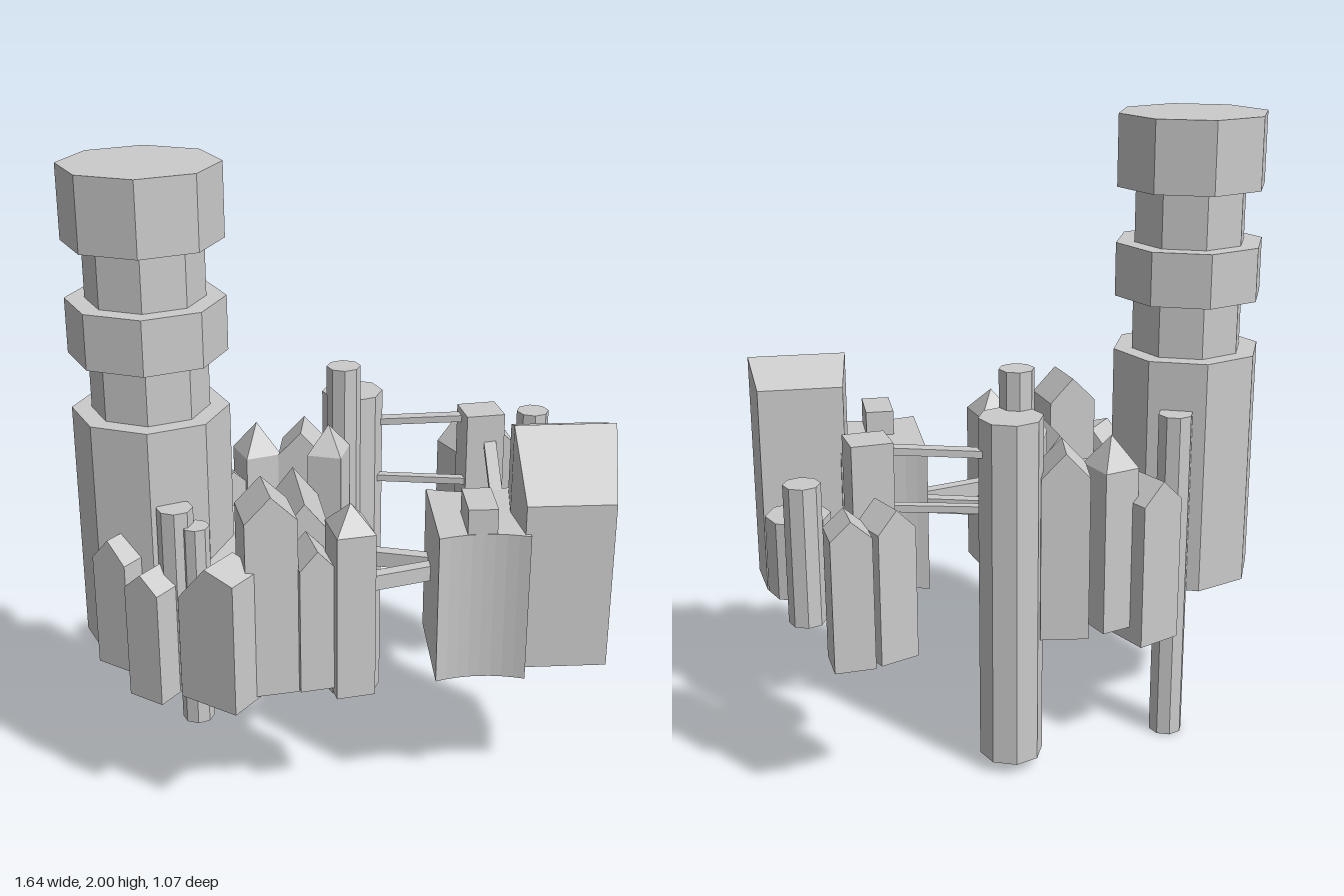
import * as THREE from 'three';
import { ConvexGeometry } from 'three/addons/geometries/ConvexGeometry.js';

const material = new THREE.MeshStandardMaterial({ color: 0xcccccc, flatShading: true });
const V = (x, y, z) => new THREE.Vector3(x, y, z);

export function createModel() {
  const model = new THREE.Group();

  function add(name, geometry, x = 0, y = 0, z = 0, turn = 0) {
    const mesh = new THREE.Mesh(geometry, material);
    mesh.name = name;
    mesh.position.set(x, y, z);
    mesh.rotation.y = turn;
    model.add(mesh);
    return mesh;
  }

  // Eight-sided column with corners on the axes
  const column = (name, x, z, r, y0, y1) =>
    add(name, new THREE.CylinderGeometry(r, r, y1 - y0, 8), x, (y0 + y1) / 2, z);

  // Block with a ridge along local z; ridge length 0 makes a pyramid roof
  function house(name, x, z, w, d, y0, eave, top, turn, ridge = d, eaveRight = eave) {
    const pts = [V(0, top, ridge / 2), V(0, top, -ridge / 2)];
    for (const s of [-1, 1]) for (const t of [-1, 1]) {
      pts.push(V(s * w / 2, y0, t * d / 2), V(s * w / 2, s < 0 ? eave : eaveRight, t * d / 2));
    }
    add(name, new ConvexGeometry(pts), x, 0, z, turn);
  }

  // Upright prism from a plan shape drawn in x and z
  function prism(name, shape, y0, y1) {
    const geometry = new THREE.ExtrudeGeometry(shape, { depth: y1 - y0, bevelEnabled: false, curveSegments: 8 });
    geometry.rotateX(Math.PI / 2); // shape y becomes z, depth runs down
    add(name, geometry, 0, y1, 0);
  }

  // Thin beam between two points
  function bridge(a, b, w, h) {
    const mesh = add('bridge', new THREE.BoxGeometry(w, h, a.distanceTo(b)));
    mesh.position.copy(a).add(b).multiplyScalar(0.5);
    mesh.lookAt(b);
  }

  // Great tower: alternating wide and narrow drums
  [[0.24, 0.49, 1.255], [0.18, 1.255, 1.43], [0.24, 1.43, 1.6], [0.18, 1.6, 1.775], [0.24, 1.775, 2]]
    .forEach(([r, y0, y1]) => column('greatTowerDrum', -0.58, 0.07, r, y0, y1));

  // Central platform and the hall on it
  const plan = [[-0.45, -0.17], [-0.2, -0.18], [-0.09, -0.18], [-0.05, -0.1], [-0.04, 0], [-0.04, 0.2],
    [0.02, 0.31], [-0.12, 0.34], [-0.35, 0.36], [-0.5, 0.32]];
  prism('platform', new THREE.Shape(plan.map(([x, z]) => new THREE.Vector2(x, z))), 0.45, 0.81);
  house('hall', -0.135, 0.125, 0.16, 0.29, 0.47, 0.9, 1.0, 0.09);

  // Front row of houses
  house('frontHouse', -0.67, 0.26, 0.125, 0.15, 0.49, 0.85, 0.92, -0.64);
  house('frontHouse', -0.573, 0.337, 0.125, 0.15, 0.415, 0.785, 0.84, -0.64);
  house('frontHouse', -0.383, 0.414, 0.205, 0.14, 0.43, 0.77, 0.89, -0.64, 0.14, 0.86);
  house('frontHouse', -0.24, 0.355, 0.16, 0.165, 0.44, 1.02, 1.1, 0.17);
  house('frontHouse', -0.105, 0.36, 0.11, 0.15, 0.45, 0.86, 0.92, 0.2);
  house('frontTurret', 0.01, 0.375, 0.12, 0.145, 0.43, 0.97, 1.05, 0.2, 0);

  // Back row of houses
  house('backHouse', -0.375, -0.23, 0.15, 0.17, 0.39, 0.86, 0.93, 0.45);
  house('backTurret', -0.26, -0.24, 0.12, 0.13, 0.44, 0.97, 1.07, 0.35, 0);
  house('backHouse', -0.107, -0.26, 0.15, 0.155, 0.44, 0.97, 1.05, -0.12);
  house('sideTurret', -0.03, -0.08, 0.11, 0.12, 0.5, 1.03, 1.12, -0.3, 0);

  // Slim columns around the platform
  column('slimTower', -0.51, 0.31, 0.055, 0.42, 1.02);
  column('slimTower', -0.45, 0.335, 0.042, 0.45, 0.97);
  column('slimTower', -0.485, -0.16, 0.055, 0, 1.1);
  column('slimTower', 0.025, -0.185, 0.055, 0.16, 1.28);
  column('roundTower', 0.06, -0.28, 0.1, 0.04, 1.16);

  // Gatehouse with hollowed front and back walls
  const gate = new THREE.Shape();
  gate.moveTo(0.27, 0.065);
  gate.quadraticCurveTo(0.405, 0.12, 0.545, 0.065);
  gate.lineTo(0.545, 0.43);
  gate.quadraticCurveTo(0.405, 0.38, 0.27, 0.43);
  gate.closePath();
  prism('gatehouse', gate, 0.465, 0.95);
  add('gatehouseLookout', new THREE.BoxGeometry(0.09, 0.14, 0.16), 0.402, 0.96, 0.325);

  // Great house: end walls swell out under the ridge
  const great = [];
  for (const s of [-1, 1]) {
    for (const [z, top, out] of [[0.08, 1.17, 0.133], [0.253, 1.235, 0.155], [0.415, 1.04, 0.135]]) {
      great.push(V(0.664 + s * out, 0.497, z), V(0.664 + s * out, top, z));
    }
  }
  add('greatHouse', new ConvexGeometry(great));

  // Back right block, houses and columns
  add('backBlock', new THREE.BoxGeometry(0.128, 0.56, 0.125), 0.485, 0.82, -0.235, 0.14);
  house('outerHouse', 0.455, -0.43, 0.125, 0.125, 0.49, 0.9, 0.965, 0.43);
  house('outerHouse', 0.57, -0.47, 0.122, 0.122, 0.49, 0.9, 0.955, 0.1);
  column('outerTower', 0.7, -0.27, 0.097, 0.65, 0.89);
  column('outerSlimTower', 0.69, -0.395, 0.055, 0.6, 1.03);

  // Bridges
  bridge(V(-0.06, 0.735, 0.05), V(0.29, 0.735, 0.155), 0.04, 0.05);
  bridge(V(-0.01, 0.735, 0.3), V(0.29, 0.735, 0.205), 0.04, 0.05);
  bridge(V(0.13, 1.05, -0.285), V(0.44, 1.07, -0.25), 0.04, 0.022);
  bridge(V(0.12, 0.86, -0.255), V(0.45, 0.865, -0.19), 0.03, 0.022);
  bridge(V(0.51, 1.0, -0.19), V(0.49, 0.935, 0.1), 0.04, 0.022);

  return model;
}
